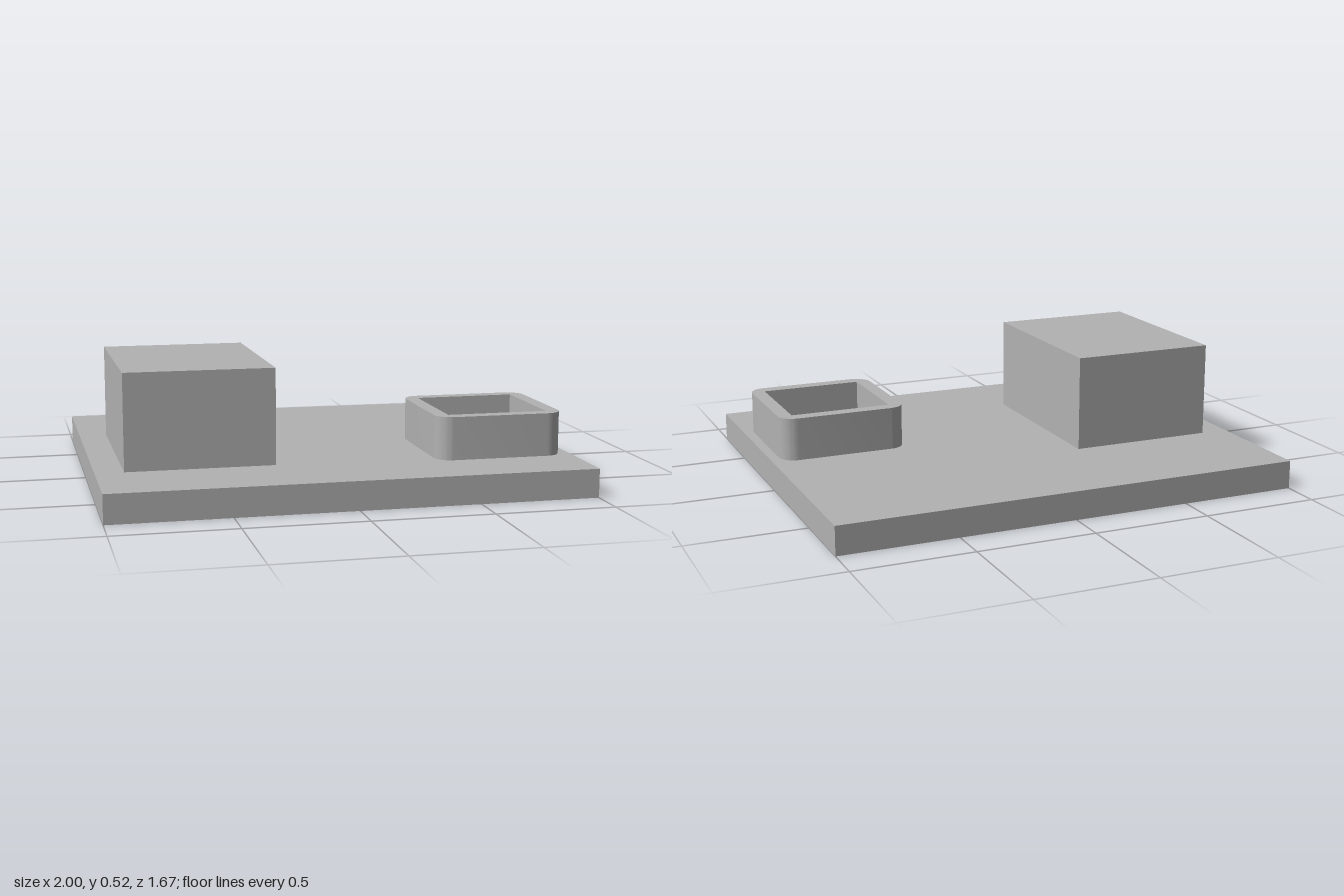
import * as THREE from 'three';
import { toCreasedNormals } from 'three/addons/utils/BufferGeometryUtils.js';

const BASE_HEIGHT = 0.12;
const OPENING = { x: 0.683, z: 0.274, size: 0.432 };

// Rectangle in plan, optionally with rounded corners (shape y is -z)
function planRect(Type, cx, cz, width, depth, radius = 0) {
  const path = new Type();
  const x0 = cx - width / 2, x1 = cx + width / 2;
  const y0 = -cz - depth / 2, y1 = -cz + depth / 2;
  const r = radius;
  if (r === 0) {
    path.moveTo(x0, y0).lineTo(x1, y0).lineTo(x1, y1).lineTo(x0, y1).closePath();
    return path;
  }
  path.moveTo(x0 + r, y0);
  path.absarc(x1 - r, y0 + r, r, -Math.PI / 2, 0);
  path.absarc(x1 - r, y1 - r, r, 0, Math.PI / 2);
  path.absarc(x0 + r, y1 - r, r, Math.PI / 2, Math.PI);
  path.absarc(x0 + r, y0 + r, r, Math.PI, Math.PI * 1.5);
  return path;
}

// Upright extrusion of a plan shape pierced by the square opening
function pierced(shape, bottom, top) {
  shape.holes.push(planRect(THREE.Path, OPENING.x, OPENING.z, OPENING.size, OPENING.size));
  const geometry = new THREE.ExtrudeGeometry(shape, {
    depth: top - bottom, bevelEnabled: false, curveSegments: 12,
  });
  geometry.rotateX(-Math.PI / 2).translate(0, bottom, 0);
  return toCreasedNormals(geometry, Math.PI / 6);
}

export function createModel() {
  const model = new THREE.Group();
  const grey = new THREE.MeshStandardMaterial({ color: 0xb2b2b2 });
  grey.name = 'grey';

  function add(name, geometry) {
    const mesh = new THREE.Mesh(geometry, grey);
    mesh.name = name;
    model.add(mesh);
    return mesh;
  }

  // Flat slab with the opening cut right through
  add('basePlate', pierced(planRect(THREE.Shape, 0, 0, 2, 1.672), 0, BASE_HEIGHT));

  // Rounded wall around the opening
  add('collar', pierced(
    planRect(THREE.Shape, OPENING.x, OPENING.z, 0.55, 0.548, 0.07), BASE_HEIGHT, 0.302));

  // Solid box on the other side
  const blockHeight = 0.522 - BASE_HEIGHT;
  add('block', new THREE.BoxGeometry(0.62, blockHeight, 0.8))
    .position.set(-0.572, BASE_HEIGHT + blockHeight / 2, 0.074);

  return model;
}
